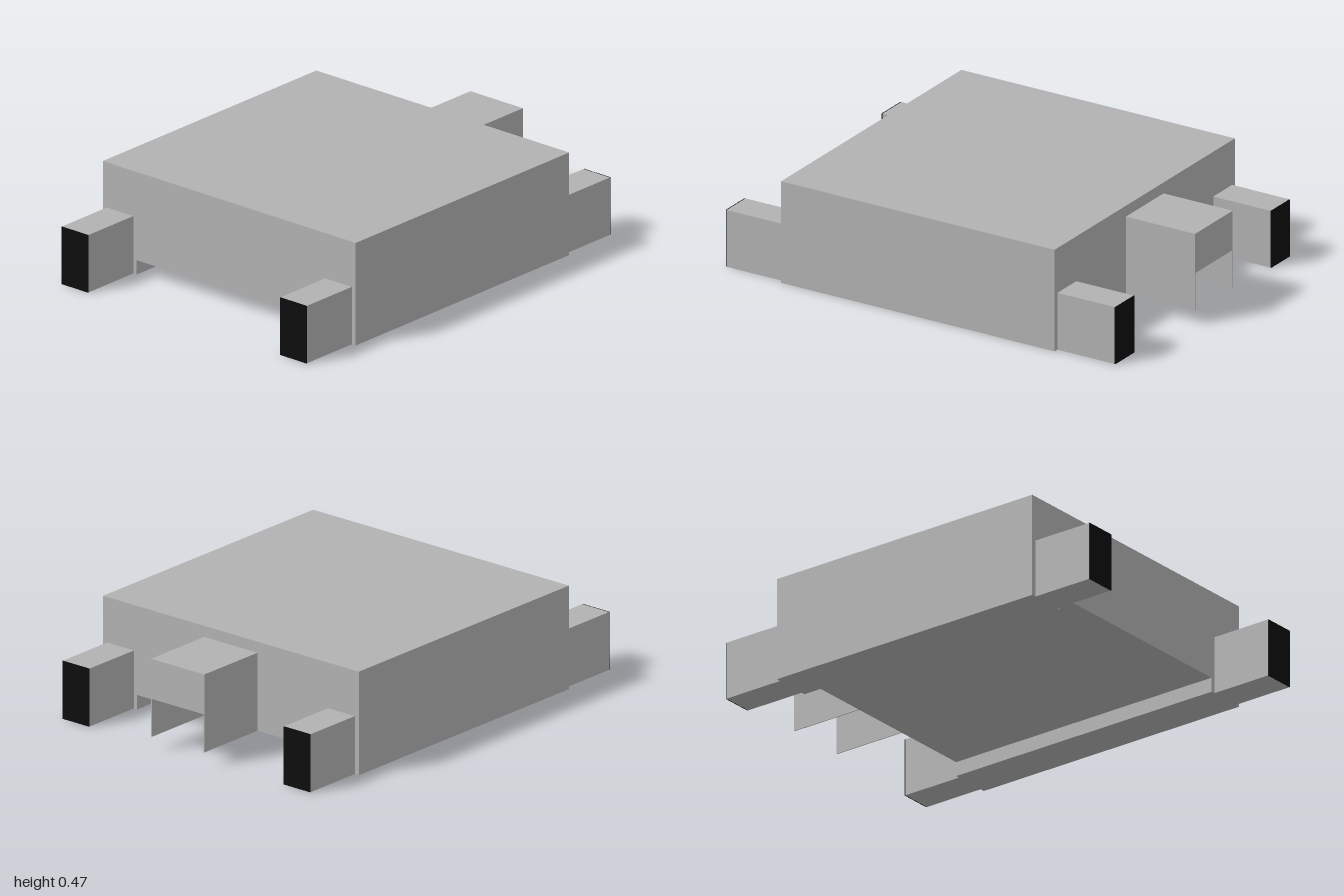
import * as THREE from 'three';

const grey = new THREE.MeshStandardMaterial({ color: 0xb2b2b2 });
grey.name = 'plain grey';
const black = new THREE.MeshStandardMaterial({ color: 0x0d0d0d });
black.name = 'grille black';

function addMesh(group, name, geometry, material = grey) {
  const mesh = new THREE.Mesh(geometry, material);
  mesh.name = name;
  group.add(mesh);
  return mesh;
}

// box given by its minimum and maximum corners
function addBox(group, name, [x0, y0, z0], [x1, y1, z1], material) {
  const mesh = addMesh(group, name, new THREE.BoxGeometry(x1 - x0, y1 - y0, z1 - z0), material);
  mesh.position.set((x0 + x1) / 2, (y0 + y1) / 2, (z0 + z1) / 2);
}

const points = (list) => list.map(([a, b]) => new THREE.Vector2(a, b));

const W = 0.707, TOP = 0.465, FLOOR = 0.065;
const FRONT = 0.71, BACK = -0.655, STAIR_END = -0.44;
const HALL = 0.147, HALL_TOP = 0.415, CEILING = 0.235;

// hull cross-section with a skid rail along each side
function hullShape() {
  return new THREE.Shape(points([
    [-W, 0], [-0.518, 0], [-0.518, FLOOR], [0.518, FLOOR],
    [0.518, 0], [W, 0], [W, TOP], [-W, TOP],
  ]));
}

function hullSection(shape, z0, z1) {
  const g = new THREE.ExtrudeGeometry(shape, { depth: z1 - z0, bevelEnabled: false });
  return g.translate(0, 0, z0);
}

export function createModel() {
  const model = new THREE.Group();
  model.name = 'hull with pods and entry';

  // main hull, the rear section pierced by the entry passage
  addMesh(model, 'hullFront', hullSection(hullShape(), STAIR_END, FRONT));
  const rear = hullShape();
  rear.holes.push(new THREE.Path(points([
    [-HALL, FLOOR + 0.004], [-HALL, HALL_TOP], [HALL, HALL_TOP], [HALL, FLOOR + 0.004],
  ])));
  addMesh(model, 'hullRear', hullSection(rear, BACK, STAIR_END));

  // entry roof whose stepped underside runs down into the hull
  const steps = 10, stairStart = -0.79;
  const outline = [[STAIR_END, HALL_TOP], [-1, HALL_TOP], [-1, CEILING], [stairStart, CEILING]];
  const dz = (STAIR_END - stairStart) / steps, dy = (CEILING - FLOOR - 0.004) / steps;
  for (let i = 0; i < steps; i++) {
    const z = stairStart + i * dz, y = CEILING - (i + 1) * dy;
    outline.push([z, y], [z + dz, y]);
  }
  const inner = HALL - 0.004;
  const roof = new THREE.ExtrudeGeometry(new THREE.Shape(points(outline)), {
    depth: inner * 2, bevelEnabled: false,
  });
  roof.rotateY(-Math.PI / 2).translate(inner, 0, 0);
  addMesh(model, 'entryRoofAndStairs', roof);

  for (const s of [-1, 1]) {
    const side = s > 0 ? 'left' : 'right';
    const span = (a, b) => (s > 0 ? [a, b] : [-b, -a]);

    // thin entry side walls
    const [w0, w1] = span(inner, HALL);
    addBox(model, side + 'EntryWall', [w0, FLOOR, -1], [w1, HALL_TOP, BACK]);

    // pods front and rear, each closed by a dark end grille
    const [p0, p1] = span(0.537, 0.685);
    addBox(model, side + 'FrontPod', [p0, 0, FRONT], [p1, 0.26, 0.996]);
    addBox(model, side + 'FrontGrille', [p0, 0, 0.996], [p1, 0.26, 1], black);
    addBox(model, side + 'RearPod', [p0, 0, -0.941], [p1, 0.26, BACK]);
    addBox(model, side + 'RearGrille', [p0, 0, -0.945], [p1, 0.26, -0.941], black);
  }
  return model;
}
